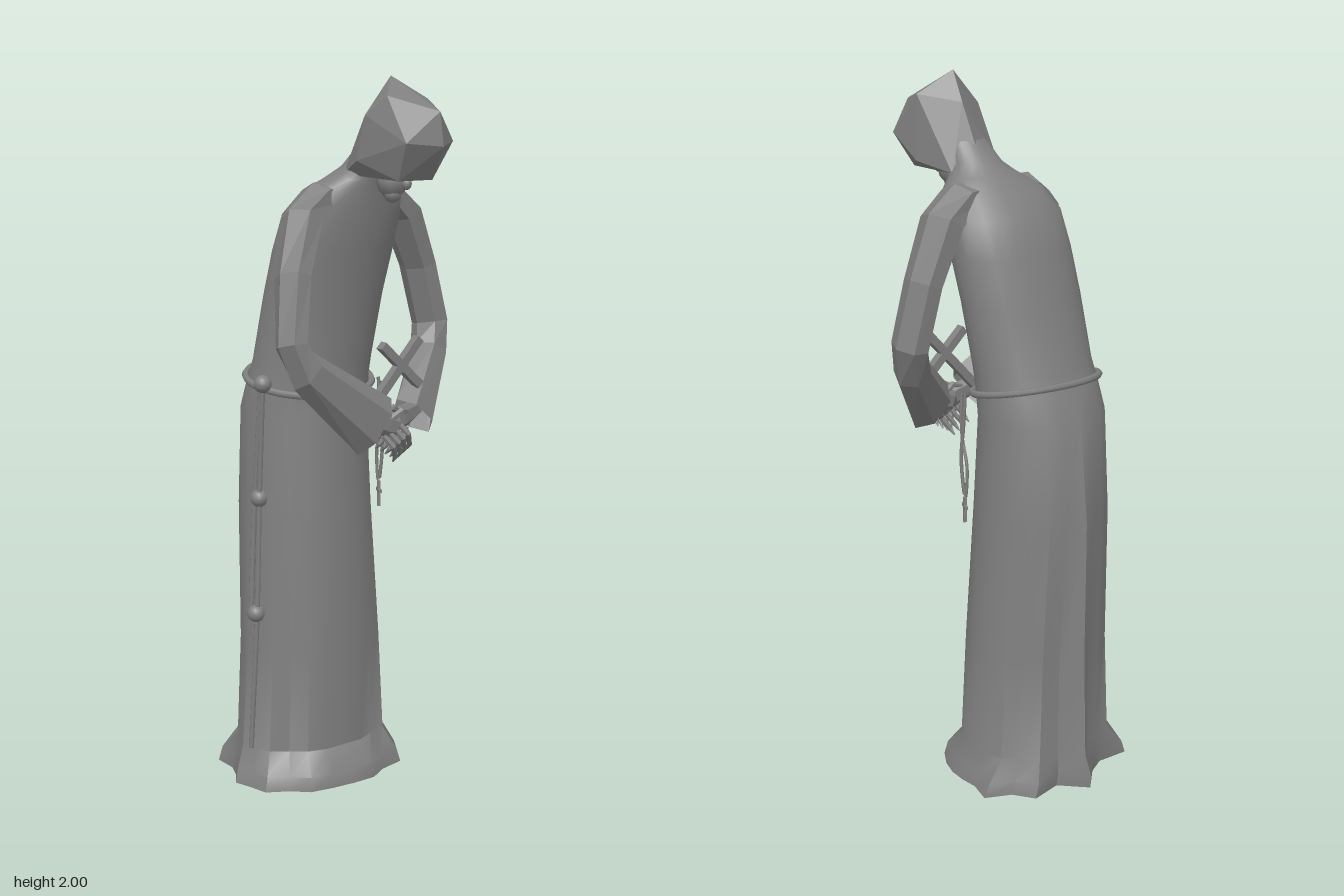
import * as THREE from 'three';
import { toCreasedNormals } from 'three/addons/utils/BufferGeometryUtils.js';
import { ConvexGeometry } from 'three/addons/geometries/ConvexGeometry.js';

const color = 0x808080;
const smooth = new THREE.MeshStandardMaterial({ color, side: THREE.DoubleSide });
const flat = new THREE.MeshStandardMaterial({ color, side: THREE.DoubleSide, flatShading: true });
const V = (x, y, z) => new THREE.Vector3(x, y, z);

function add(parent, name, geometry, material = smooth) {
  const mesh = new THREE.Mesh(geometry, material);
  mesh.name = name;
  parent.add(mesh);
  return mesh;
}

// Skin a list of closed rings, each with the same number of points
function loft(rings) {
  const n = rings[0].length, index = [];
  for (let r = 0; r < rings.length - 1; r++) {
    for (let k = 0; k < n; k++) {
      const a = r * n + k, b = r * n + (k + 1) % n;
      index.push(a, a + n, b, b, a + n, b + n);
    }
  }
  const g = new THREE.BufferGeometry().setFromPoints(rings.flat());
  g.setIndex(index);
  g.computeVertexNormals();
  return g;
}

// Limb along stations [x, y, z, half width, half depth]
function limb(stations, sides) {
  const p = stations.map(s => V(s[0], s[1], s[2]));
  return loft(stations.map((s, i) => {
    const d = p[Math.min(i + 1, p.length - 1)].clone().sub(p[Math.max(i - 1, 0)]).normalize();
    const v = V(0, 0, 1).addScaledVector(d, -d.z).normalize();
    const u = d.clone().cross(v);
    return Array.from({ length: sides }, (_, k) => {
      const t = (k / sides) * Math.PI * 2;
      return p[i].clone().addScaledVector(u, s[3] * Math.cos(t)).addScaledVector(v, s[4] * Math.sin(t));
    });
  }));
}

function cord(points, radius, closed = false) {
  const curve = new THREE.CatmullRomCurve3(points.map(p => V(...p)), closed);
  return new THREE.TubeGeometry(curve, points.length * 5, radius, 6, closed);
}

function cross(parent, name, height, width, thick, barY) {
  const g = new THREE.Group();
  g.name = name;
  add(g, 'upright', new THREE.BoxGeometry(thick, height, thick), flat);
  add(g, 'crossbar', new THREE.BoxGeometry(width, thick, thick), flat).position.y = barY;
  parent.add(g);
  return g;
}

export function createModel() {
  const model = new THREE.Group();
  model.name = 'robedFigure';

  // Robe: ellipse rows [y, cx, cz, rx, rz, skirt fold strength, hem strength]
  const rows = [
    [0, -0.05, -0.08, 0.265, 0.205, 0, 1], [0.04, -0.05, -0.085, 0.255, 0.205, 0.2, 0.8],
    [0.1, -0.045, -0.105, 0.23, 0.18, 1, 0], [0.4, -0.045, -0.105, 0.212, 0.178, 0.8, 0],
    [0.8, -0.055, -0.11, 0.196, 0.178, 0.45, 0], [1.08, -0.055, -0.11, 0.188, 0.162, 0.12, 0],
    [1.16, -0.05, -0.095, 0.185, 0.145, 0, 0], [1.22, -0.045, -0.08, 0.18, 0.14, 0, 0],
    [1.4, -0.03, -0.048, 0.185, 0.127, 0, 0], [1.53, -0.02, -0.015, 0.186, 0.127, 0, 0],
    [1.63, -0.01, 0.012, 0.182, 0.122, 0, 0], [1.69, 0, 0.042, 0.155, 0.102, 0, 0],
    [1.73, 0.01, 0.068, 0.1, 0.085, 0, 0], [1.76, 0.015, 0.095, 0.072, 0.07, 0, 0],
    [1.82, 0.025, 0.14, 0.06, 0.06, 0, 0],
  ];
  const skirt = [0.98, 1, 1.01, 1.06, 0.98, 1, 0.97, 1.01, 1.02, 0.98, 1.03, 1,
    1.02, 0.97, 0.98, 1.02, 0.95, 0.97, 1.24, 0.96, 1.08, 0.98, 1.01, 0.97];
  const hem = [0.98, 1, 1.04, 1.1, 0.98, 1.04, 1, 1, 1.04, 0.98, 1.06, 1,
    1.03, 0.94, 0.96, 1.18, 0.94, 1, 1.3, 0.99, 1.22, 1.08, 1.2, 1];
  const robe = loft(rows.map(([y, cx, cz, rx, rz, ws, wh]) => skirt.map((f, k) => {
    const t = (k / skirt.length) * Math.PI * 2, s = 1 + (f - 1) * ws + (hem[k] - 1) * wh;
    return V(cx + rx * s * Math.cos(t), y, cz + rz * s * Math.sin(t));
  })));
  add(model, 'robe', toCreasedNormals(robe, 0.6));

  // Hood, bowed forward and running down into the nape
  const hood = [
    [0.03, 2, 0.175], [0.135, 1.94, 0.2], [0.157, 1.83, 0.283], [0.064, 1.91, 0.34],
    [0.065, 1.82, 0.355], [-0.04, 1.83, 0.33], [-0.045, 1.95, 0.255], [-0.075, 1.9, 0.2],
    [0.14, 1.76, 0.2], [0.085, 1.73, 0.285], [-0.025, 1.73, 0.28], [-0.08, 1.78, 0.17],
    [0.1, 1.735, 0.09], [-0.055, 1.74, 0.08], [0.045, 1.92, 0.115], [0.03, 1.745, 0.045],
  ];
  add(model, 'hood', new ConvexGeometry(hood.map(p => V(...p))), flat);

  // Face under the hood: chin, nose and beard
  for (const [name, x, y, z, r, sy] of [
    ['chin', 0.012, 1.725, 0.205, 0.042, 1.1], ['beard', 0.01, 1.692, 0.21, 0.024, 1],
    ['nose', 0.01, 1.722, 0.27, 0.014, 1.2],
  ]) {
    const m = add(model, name, new THREE.SphereGeometry(r, 8, 6));
    m.position.set(x, y, z);
    m.scale.y = sy;
  }

  // Sleeves with open cuffs, growing out of the shoulders
  add(model, 'leftSleeve', limb([
    [0.05, 1.685, 0.04, 0.035, 0.06], [0.12, 1.68, 0.03, 0.045, 0.068], [0.19, 1.625, 0.018, 0.051, 0.073],
    [0.262, 1.47, 0.008, 0.044, 0.066], [0.304, 1.3, 0.015, 0.046, 0.062],
    [0.273, 1.218, 0.048, 0.054, 0.052], [0.13, 1.065, 0.157, 0.079, 0.046],
  ], 6), flat);
  add(model, 'rightSleeve', limb([
    [-0.05, 1.685, 0.05, 0.035, 0.055], [-0.12, 1.68, 0.055, 0.043, 0.062], [-0.19, 1.625, 0.075, 0.05, 0.065],
    [-0.265, 1.48, 0.138, 0.043, 0.058], [-0.308, 1.31, 0.193, 0.043, 0.05],
    [-0.269, 1.237, 0.205, 0.057, 0.05], [-0.045, 1.065, 0.21, 0.091, 0.046],
  ], 6), flat);

  // Clasped hands with curled fingers
  for (const [name, side, wrist, palm] of [
    ['rightHand', 1, [-0.07, 1.09, 0.205], [0.03, 1.055, 0.21]],
    ['leftHand', -1, [0.15, 1.085, 0.145], [0.045, 1.06, 0.175]],
  ]) {
    const hand = new THREE.Group();
    hand.name = name;
    model.add(hand);
    const [x, y, z] = palm;
    add(hand, 'palm', limb([[...wrist, 0.025, 0.02], [x - side * 0.03, y + 0.01, z, 0.035, 0.016],
      [x, y, z, 0.03, 0.014], [x + side * 0.01, y - 0.005, z, 0.004, 0.004]], 6), flat);
    for (let i = 0; i < 4; i++) {
      const fx = x - side * (0.045 - i * 0.017), fy = y - 0.02 + i * 0.01;
      add(hand, 'finger', limb([[fx, fy, z, 0.009, 0.009], [fx + side * 0.02, fy - 0.03, z + 0.018, 0.009, 0.009],
        [fx + side * 0.04, fy - 0.065, z, 0.007, 0.007],
        [fx + side * 0.044, fy - 0.08, z - 0.015, 0.002, 0.002]], 6), flat);
    }
    add(hand, 'thumb', limb([[x - side * 0.03, y + 0.02, z, 0.011, 0.011],
      [x + side * 0.01, y + 0.045, z + 0.01, 0.01, 0.01], [x + side * 0.04, y + 0.04, z, 0.004, 0.004]], 6), flat);
  }

  // Cross held in the hands
  const held = cross(model, 'handCross', 0.27, 0.18, 0.024, 0.04);
  held.position.set(0.055, 1.185, 0.158);
  held.rotation.z = -0.75;

  // Rope belt, higher at the back
  const belt = Array.from({ length: 24 }, (_, k) => {
    const t = (k / 24) * Math.PI * 2;
    return [-0.05 + 0.192 * Math.cos(t), 1.16 - 0.03 * Math.sin(t), -0.09 + 0.15 * Math.sin(t)];
  });
  add(model, 'ropeBelt', cord(belt, 0.01, true));

  // Knotted rope ends on the right hip
  add(model, 'longRopeEnd', cord([[-0.25, 1.17, -0.03], [-0.248, 0.84, -0.055], [-0.26, 0.5, -0.055], [-0.275, 0.1, -0.07]], 0.008));
  add(model, 'shortRopeEnd', cord([[-0.25, 1.17, -0.04], [-0.25, 0.84, -0.075], [-0.263, 0.5, -0.08]], 0.008));
  for (const [x, y, z] of [[-0.25, 1.17, -0.03], [-0.245, 0.84, -0.06], [-0.26, 0.505, -0.06]]) {
    add(model, 'ropeKnot', new THREE.SphereGeometry(0.025, 14, 10)).position.set(x, y, z);
  }

  // Bead string and small cross on the left hip
  add(model, 'beadString', cord([[0.135, 1.14, 0.01], [0.138, 1.02, 0.005], [0.14, 0.93, -0.02], [0.143, 0.84, -0.015],
    [0.145, 0.95, 0], [0.14, 1.05, -0.005], [0.137, 1.15, -0.01]], 0.005));
  const pendant = cross(model, 'pendantCross', 0.075, 0.045, 0.009, 0.01);
  pendant.position.set(0.143, 0.805, -0.013);
  pendant.rotation.y = 1.1;

  return model;
}
